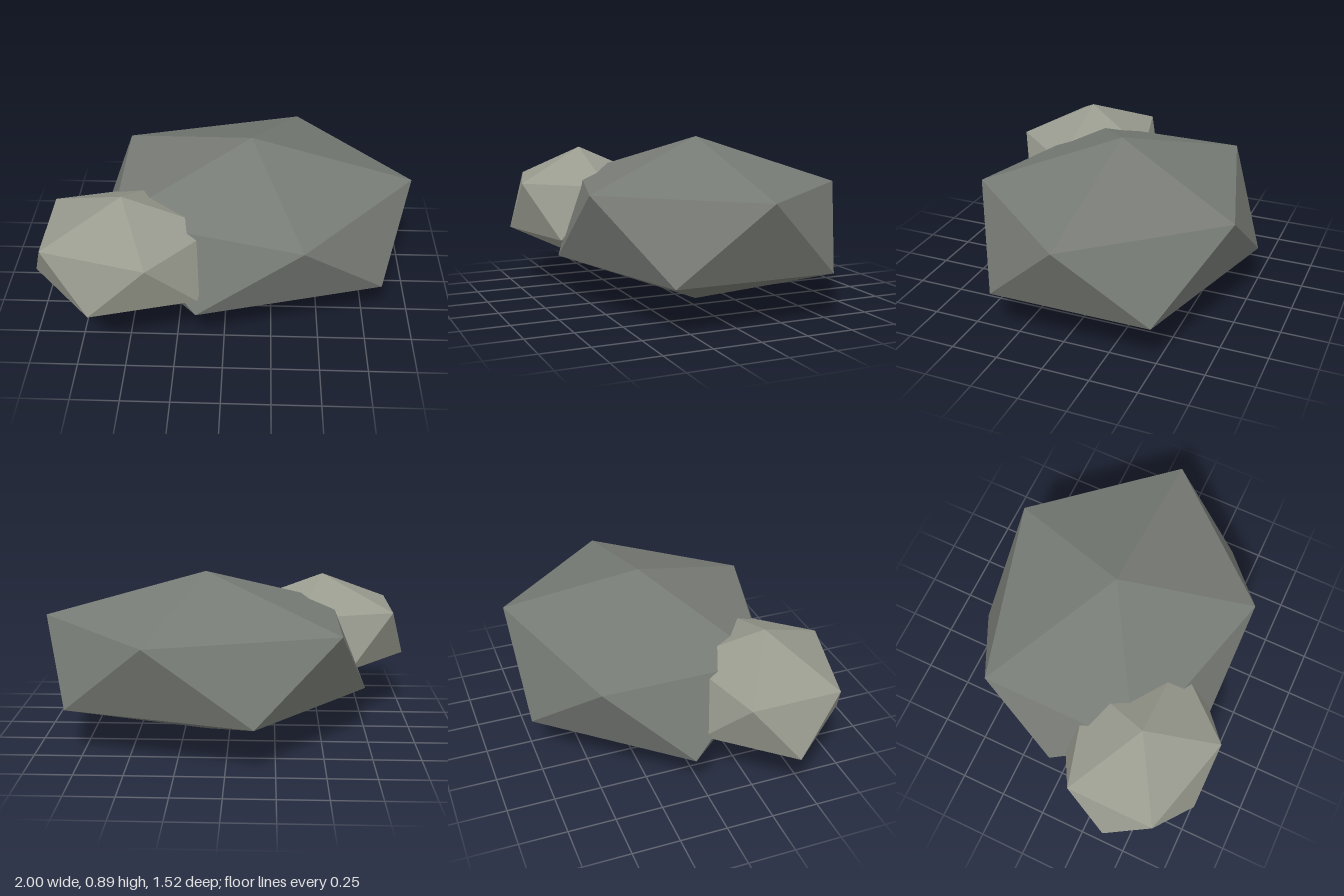
import * as THREE from 'three';

// Faceted rock: an icosahedron stood on one corner, then stretched per axis
function makeRock(name, color, center, radii) {
  const geometry = new THREE.IcosahedronGeometry(1, 0);
  const golden = (1 + Math.sqrt(5)) / 2;
  geometry.rotateZ(-Math.atan(1 / golden)); // bring one corner to the top
  geometry.scale(...radii);
  geometry.computeVertexNormals();
  const material = new THREE.MeshStandardMaterial({ color, flatShading: true });
  const rock = new THREE.Mesh(geometry, material);
  rock.name = name;
  rock.position.set(...center);
  return rock;
}

export function createModel() {
  const group = new THREE.Group();
  group.name = 'rocks';
  // Wide flat boulder
  group.add(makeRock('largeRock', 0x777b75, [0.128, 0.447, -0.067], [0.975, 0.447, 0.732 / 0.8944]));
  // Smaller, lighter stone leaning into its front right side
  group.add(makeRock('smallRock', 0x999b8f, [-0.52, 0.475, 0.38], [0.537, 0.325, 0.448]));
  return group;
}
